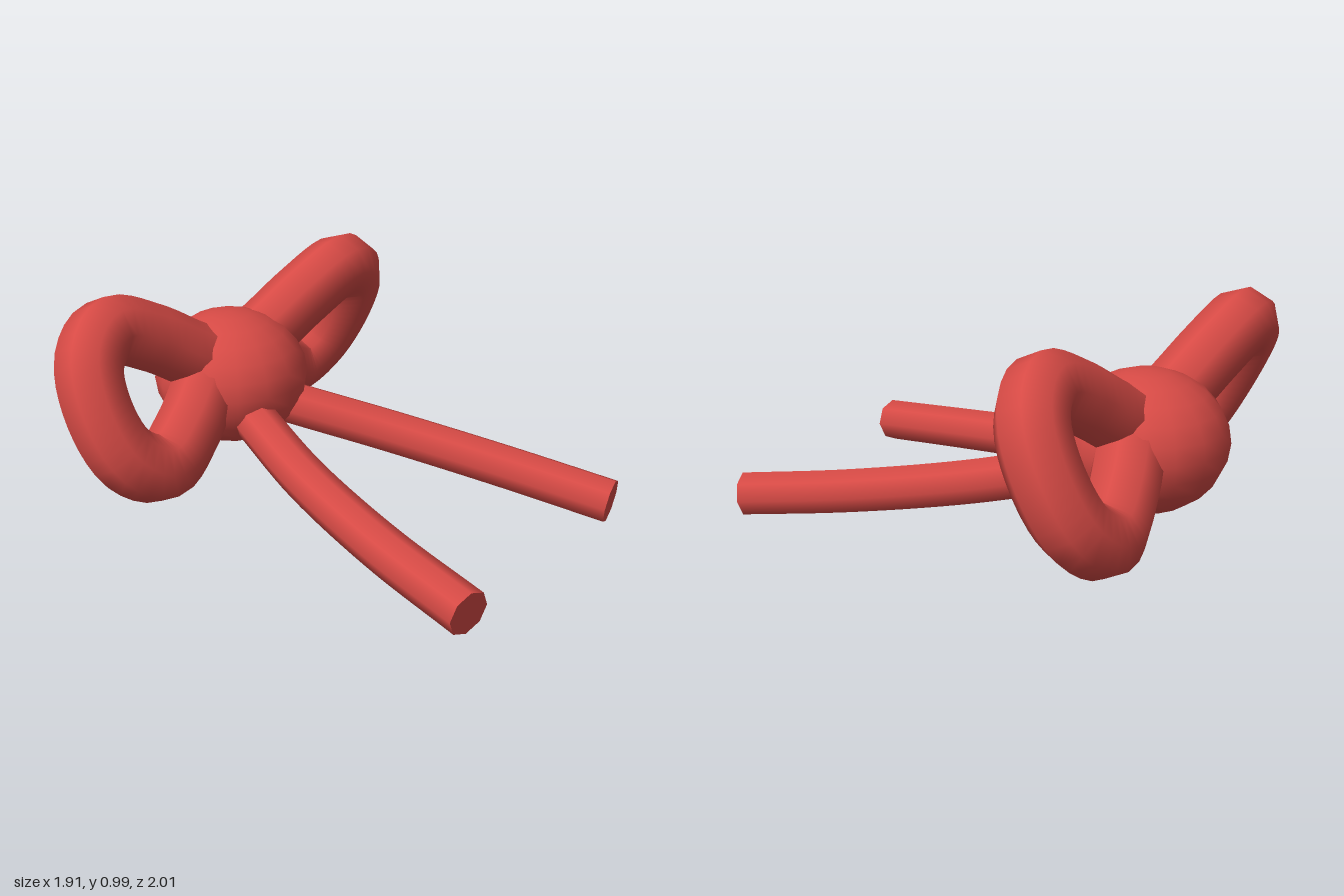
import * as THREE from 'three';

const material = new THREE.MeshStandardMaterial({ color: 0xd64a45 });
const KNOT = new THREE.Vector3(0, 0.477, -0.655);

// Eight-sided smooth tube through points
function tube(points, radius, segments) {
  const curve = new THREE.CatmullRomCurve3(points);
  return { curve, mesh: new THREE.Mesh(new THREE.TubeGeometry(curve, segments, radius, 8), material) };
}

// Flat cap that closes a tube, sharing the tube's own end ring
function endCap(tubeGeometry, segments) {
  const p = tubeGeometry.attributes.position;
  const ring = [];
  for (let i = 0; i < 8; i++) ring.push(new THREE.Vector3().fromBufferAttribute(p, segments * 9 + i));
  const corners = [];
  for (let i = 1; i < 7; i++) corners.push(ring[0], ring[i], ring[i + 1]);
  const geometry = new THREE.BufferGeometry().setFromPoints(corners);
  geometry.computeVertexNormals();
  const capMaterial = material.clone();
  capMaterial.side = THREE.DoubleSide;
  return new THREE.Mesh(geometry, capMaterial);
}

export function createModel() {
  const model = new THREE.Group();
  model.name = 'bow';

  // Central knot, slightly flattened
  const knot = new THREE.Mesh(new THREE.SphereGeometry(1, 16, 12), material);
  knot.name = 'knot';
  knot.scale.set(0.338, 0.297, 0.345);
  knot.position.copy(KNOT);
  model.add(knot);

  // Loops: each lies in a leaning plane; the second is the first turned half round
  const outline = [
    [0.04, 0.54], [0.21, 0.63], [0.4, 0.755], [0.62, 0.845], [0.77, 0.76], [0.82, 0.565],
    [0.77, 0.38], [0.62, 0.293], [0.4, 0.38], [0.21, 0.5], [0.04, 0.58],
  ];
  for (const [side, name] of [[1, 'leftLoop'], [-1, 'rightLoop']]) {
    const points = outline.map(([x, y]) =>
      new THREE.Vector3(side * x, y, KNOT.z + side * (y - 0.567) * 0.5));
    const { mesh } = tube(points, 0.147, 48);
    mesh.name = name;
    model.add(mesh);
  }

  // Two tails sweeping forward and down, with closed ends
  const path = [
    [0.02, 0.41, -0.655], [0.14, 0.345, -0.38], [0.3, 0.262, 0], [0.455, 0.173, 0.5], [0.565, 0.1, 0.98],
  ];
  for (const [side, name] of [[1, 'leftTail'], [-1, 'rightTail']]) {
    const tail = new THREE.Group();
    tail.name = name;
    const { mesh } = tube(path.map(([x, y, z]) => new THREE.Vector3(side * x, y, z)), 0.098, 24);
    mesh.name = 'tailCord';
    const cap = endCap(mesh.geometry, 24);
    cap.name = 'tailEnd';
    tail.add(mesh, cap);
    model.add(tail);
  }
  return model;
}
